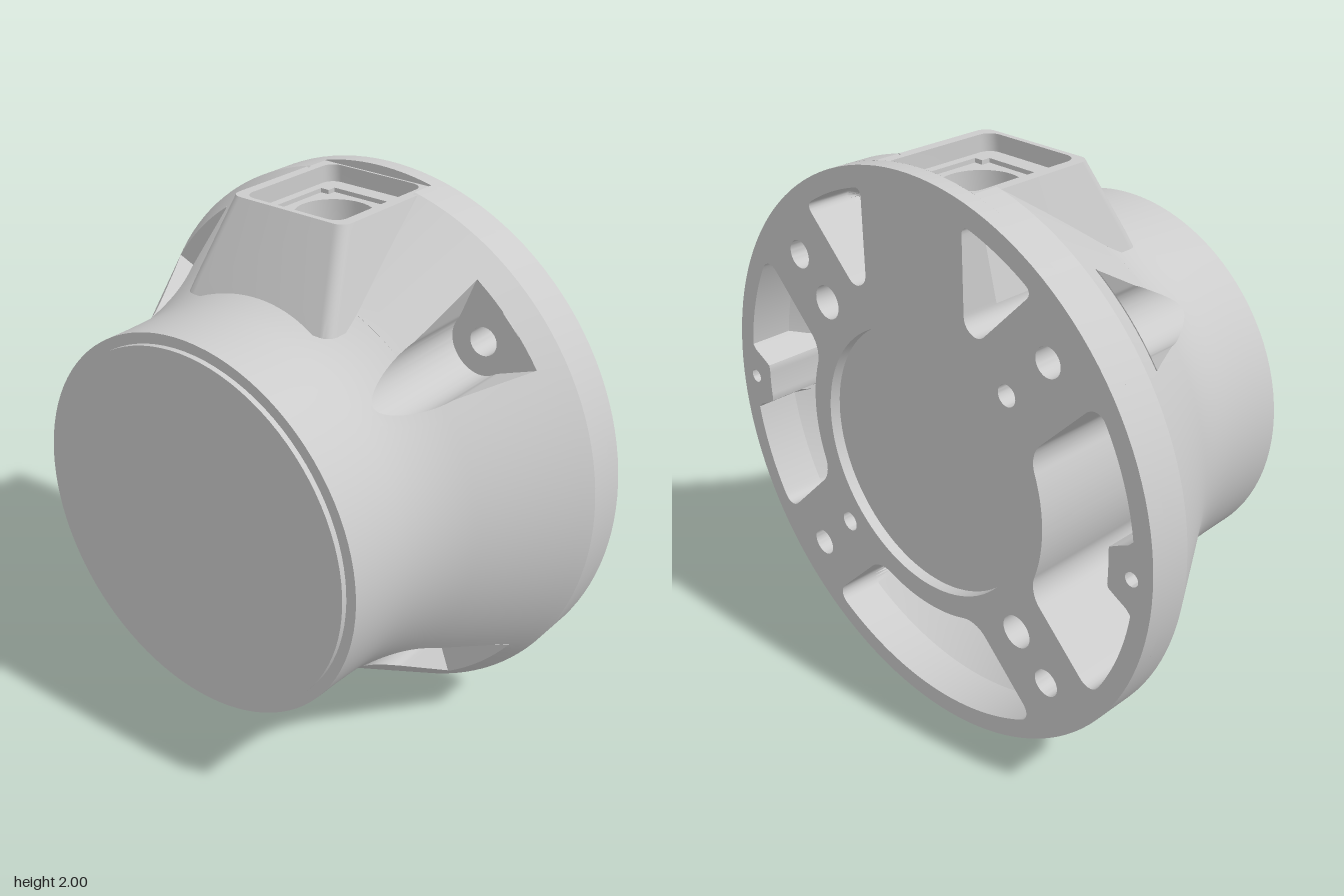
import * as THREE from 'three';
import { mergeGeometries, toCreasedNormals } from 'three/addons/utils/BufferGeometryUtils.js';

const BACK = -0.52, FLOOR = -0.276, STEP = -0.46, TOP = 0.97;
const mat = new THREE.MeshStandardMaterial({ color: 0xcccccc, side: THREE.DoubleSide });
const polar = (r, a, z) => [r * Math.cos(a), r * Math.sin(a), z];
const span = (n, f) => Array.from({ length: n + 1 }, (_, i) => f(i / n));

// Outer bell: straight cone blending through a fillet into the front barrel
function coneZ(r) {
  if (r >= 0.78) return (0.78 - r) / 0.6;
  const a = 0.086, b = 0.008, c = 0.686 - r;
  return 0.3 * (1 - (-b + Math.sqrt(b * b - 4 * a * c)) / (2 * a));
}
function coneR(z) {
  if (z <= 0) return Math.min(1, 0.78 - 0.6 * z);
  const t = Math.max(0, 1 - z / 0.3);
  return 0.686 + 0.008 * t + 0.086 * t * t;
}

// Surface through rows of equally many points
function grid(rows) {
  const n = rows[0].length, index = [];
  for (let i = 0; i < rows.length - 1; i++)
    for (let j = 0; j < n - 1; j++) {
      const a = i * n + j, b = a + n;
      index.push(a, a + 1, b, a + 1, b + 1, b);
    }
  const g = new THREE.BufferGeometry();
  g.setAttribute('position', new THREE.Float32BufferAttribute(rows.flat(2), 3));
  g.setIndex(index);
  return g;
}
const crease = (geos) => toCreasedNormals(mergeGeometries(geos), 0.45);
const vec = (pts) => pts.map((p) => new THREE.Vector2(p[0], p[1]));
const circle = (r, x = 0, y = 0, n = 40) => span(n, (t) => [x + r * Math.cos(t * 2 * Math.PI), y + r * Math.sin(t * 2 * Math.PI)]);
function plate(outline, holes, z) {
  const s = new THREE.Shape(vec(outline));
  s.holes = holes.map((h) => new THREE.Path(vec(h)));
  return new THREE.ShapeGeometry(s).translate(0, 0, z);
}
const wall = (outline, z0, z1) => crease([grid([z0, z1].map((z) => outline.map((p) => [p[0], p[1], z])))]);

function roundRect(x0, y0, x1, y1, r) {
  const pts = [];
  [[x1 - r, y1 - r], [x0 + r, y1 - r], [x0 + r, y0 + r], [x1 - r, y0 + r]].forEach(([cx, cy], k) =>
    pts.push(...span(6, (t) => polar(r, (k + t) * Math.PI / 2, 0).map((v, i) => v + [cx, cy, 0][i]))));
  pts.push(pts[0]);
  return pts;
}

// Half width of the U-shaped screw pocket at a given radius
const pocketHalf = (r) => r <= 0.7 ? 0 : r < 0.8 ? Math.sqrt(Math.max(0, 0.0121 - (r - 0.81) ** 2)) : 0.11 + 0.42 * (r - 0.8);
const pocketAngle = (r) => Math.asin(pocketHalf(r) / r);
const topAngle = (r) => r < 0.7601 ? 0 : Math.asin(0.22 / r);

// Outline of a back cavity between two angle limits, with rounded corners
function cavityOutline(lo, hi, r0, r1, c, boss) {
  const inset = (r) => {
    const t = Math.min(r - r0, r1 - r);
    return t >= c ? 0 : (c - Math.sqrt(Math.max(0, c * c - (c - t) ** 2))) / r;
  };
  const radii = span(24, (t) => r0 + (r1 - r0) * (1 - Math.cos(Math.PI * t)) / 2);
  const a = radii.map((r) => polar(r, lo(r) + inset(r)));
  const b = radii.map((r) => polar(r, hi(r) - inset(r))).reverse();
  const arc = (r, from, to, f) => span(60, (t) => {
    const ang = from + (to - from) * t;
    return polar(f(ang), ang);
  }).slice(1, -1);
  const d0 = inset(r0), d1 = inset(r1);
  const outer = (ang) => boss ? r1 - 0.1 * (1 - THREE.MathUtils.smoothstep(Math.abs(ang), 0.08, 0.14)) : r1;
  const pts = [...a, ...arc(r1, lo(r1) + d1, hi(r1) - d1, outer), ...b, ...arc(r0, hi(r0) - d0, lo(r0) + d0, () => r0)];
  return [...pts, pts[0]].map((p) => [p[0], p[1]]);
}
const turn = (pts, a) => pts.map(([x, y]) => [x * Math.cos(a) - y * Math.sin(a), x * Math.sin(a) + y * Math.cos(a)]);

export function createModel() {
  const group = new THREE.Group();
  const body = new THREE.Group();
  body.name = 'housing';
  body.position.y = 1;
  group.add(body);
  const add = (name, geo, parent = body) => {
    const m = new THREE.Mesh(geo, mat);
    m.name = name;
    parent.add(m);
    return m;
  };
  const diagonals = [1, 3, 5, 7].map((k) => k * Math.PI / 4);

  // Bell shell, left open at the screw pockets and the connector
  const radii = [0.686, 0.689, 0.692, 0.696, ...span(20, (t) => 0.7 + 0.12 * t * t), 0.86, 0.9, 0.948, 0.975, 1];
  radii.push(0.76, 0.7602);
  radii.sort((a, b) => a - b);
  const rows = [[0.682, 0.5], [0.683, 0.4], ...radii.map((r) => [r, coneZ(r)]), [1, STEP]];
  const openings = [
    ...diagonals.map((a) => ({ a, w: pocketAngle })),
    { a: Math.PI / 2, w: topAngle },
  ].sort((p, q) => p.a - q.a);
  const shell = openings.map((p, i) => {
    const q = openings[(i + 1) % openings.length];
    const end = q.a + (q.a < p.a ? 2 * Math.PI : 0);
    return grid(rows.map(([r, z]) => span(24, (t) => polar(r, (p.a + p.w(r)) * (1 - t) + (end - q.w(r)) * t, z))));
  });
  const rim = rows.filter(([r]) => r >= 0.948);
  diagonals.forEach((a) => shell.push(grid(rim.map(([r, z]) => span(8, (t) => polar(r, a + (2 * t - 1) * pocketAngle(r), z))))));
  shell.push(grid([STEP, BACK].map((z) => span(128, (t) => polar(1, t * 2 * Math.PI, z)))));
  add('bellShell', crease(shell));

  // Front face and cap
  add('frontFace', plate(circle(0.682, 0, 0, 96), [], 0.5));
  add('frontCap', new THREE.CylinderGeometry(0.645, 0.645, 0.02, 96).rotateX(Math.PI / 2).translate(0, 0, 0.51));

  // Screw pockets with through holes
  const pr = radii.filter((r) => r >= 0.7 && r <= 0.948);
  diagonals.forEach((a) => {
    const path = [...[...pr].reverse().map((r) => [r, 1]), ...pr.map((r) => [r, -1])];
    const at = ([r, s]) => polar(r, a + s * pocketAngle(r), coneZ(r));
    add('screwPocketWall', crease([grid([path.map(at), path.map((p) => [...at(p).slice(0, 2), FLOOR])])]));
    const edge = span(8, (t) => polar(0.948, a + (2 * t - 1) * pocketAngle(0.948)));
    const [hx, hy] = polar(0.82, a);
    const hole = circle(0.05, hx, hy);
    add('screwPocketFloor', plate([...path.map(at), ...edge], [hole], FLOOR));
    add('screwHole', wall(hole, FLOOR, BACK));
  });

  // Back cavities: two sides with a boss, one below, two small ones above
  const bevel = (r) => Math.PI / 4 - Math.asin(0.18 / r);
  const wide = (boss) => cavityOutline((r) => -bevel(r), bevel, 0.56, 0.93, 0.06, boss);
  const small = cavityOutline((r) => Math.asin(0.23 / r), bevel, 0.62, 0.93, 0.03, false);
  const cavities = [
    wide(true), turn(wide(true), Math.PI), turn(wide(false), -Math.PI / 2),
    turn(small, Math.PI / 2), turn(small.map(([x, y]) => [x, -y]), Math.PI / 2),
  ];
  const depths = [BACK, -0.36, -0.3, -0.2, -0.1, 0, 0.08, 0.15];
  cavities.forEach((outline) => {
    const level = (z) => outline.map(([x, y]) => {
      const k = Math.min(1, (coneR(z) - 0.06) / Math.hypot(x, y));
      return [x * k, y * k, z];
    });
    add('backCavityWall', crease([grid(depths.map(level))]));
    add('backCavityFloor', plate(level(0.15), [], 0.15));
  });

  // Blind holes and centre recess in the back plate
  const blind = [
    [0.475, 0, 0, 0.04], [0.025, 0.92, 0, 0.1], [0.025, -0.92, 0, 0.1],
    ...diagonals.map((a, i) => [i % 2 ? 0.037 : 0.06, ...polar(i % 2 ? 0.58 : 0.63, a).slice(0, 2), 0.18]),
  ];
  const blindOutlines = blind.map(([r, x, y, d]) => {
    const c = circle(r, x, y, r > 0.3 ? 96 : 32);
    add('backRecessWall', wall(c, BACK, BACK + d));
    add('backRecessFloor', plate(c, [], BACK + d));
    return c;
  });
  const through = diagonals.map((a) => circle(0.05, ...polar(0.82, a).slice(0, 2)));
  add('backPlate', plate(circle(1, 0, 0, 128), [...cavities, ...blindOutlines, ...through], BACK));

  // Connector block on top: drafted walls with rounded front corners
  const section = (w, front, y) => {
    const r = 0.04;
    const corner = (s) => span(6, (t) => [s * (w - r + r * Math.cos(t * Math.PI / 2)), y, front - r + r * Math.sin(t * Math.PI / 2)]);
    return [[w, y, STEP], ...corner(1), ...corner(-1).reverse(), [-w, y, STEP]];
  };
  const topEdge = section(0.235, 0.025, TOP);
  add('connectorBlock', crease([grid([section(0.31, 0.18, 0.66), section(0.297, 0.155, 0.715), topEdge])]));
  const arc = span(16, (t) => polar(1, Math.PI / 2 + 0.245 * (2 * t - 1)));
  add('flangeStep', plate(arc, [], STEP));

  // Connector socket, drawn flat and laid on top
  const socket = new THREE.Group();
  socket.name = 'connectorSocket';
  socket.rotation.x = -Math.PI / 2;
  body.add(socket);
  const rect = roundRect(-0.197, -0.005, 0.197, 0.452, 0.045);
  const square = [[1, 0.8], [0.8, 0.8], [0.8, 1], [-0.8, 1], [-0.8, 0.8], [-1, 0.8], [-1, -0.8], [-0.8, -0.8],
    [-0.8, -1], [0.8, -1], [0.8, -0.8], [1, -0.8], [1, 0.8]].map(([x, y]) => [x * 0.165, 0.225 + y * 0.165]);
  const bore = circle(0.135, 0, 0.225);
  add('socketRim', plate(topEdge.map(([x, , z]) => [x, -z]), [rect], TOP), socket);
  add('socketWall', wall(rect, TOP, 0.91), socket);
  add('socketFloor', plate(rect, [square], 0.91), socket);
  add('socketStep', wall(square, 0.91, 0.895), socket);
  add('socketSeat', plate(square, [bore], 0.895), socket);
  add('socketBore', wall(bore, 0.895, 0.8), socket);
  add('socketBoreFloor', plate(bore, [], 0.8), socket);
  return group;
}
